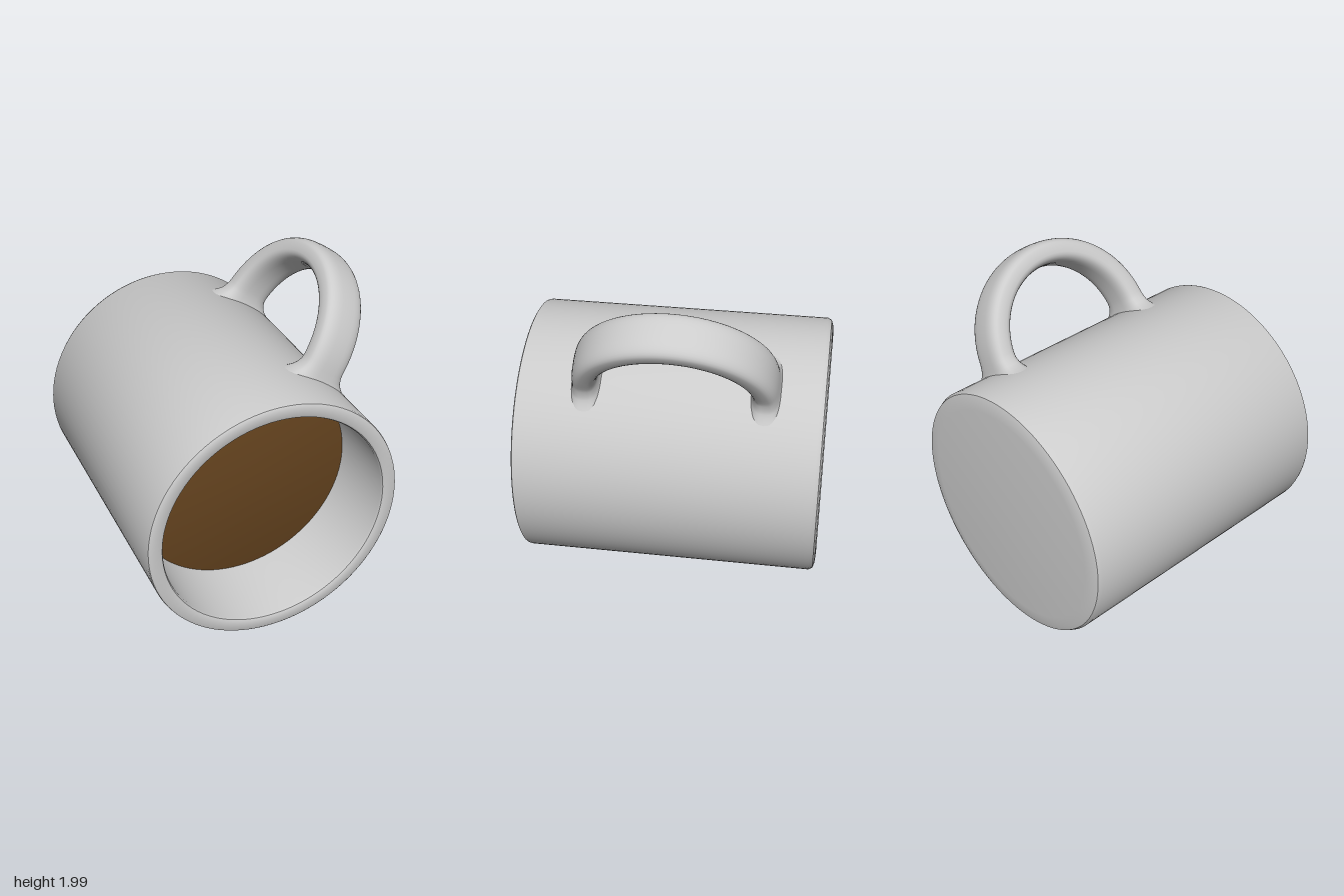
import * as THREE from 'three';
import { mergeVertices, toCreasedNormals } from 'three/addons/utils/BufferGeometryUtils.js';

const clay = new THREE.MeshStandardMaterial({ color: 0xcccccc });
const coffee = new THREE.MeshStandardMaterial({ color: 0x66441f });

function part(name, geometry, material) {
  const mesh = new THREE.Mesh(geometry, material);
  mesh.name = name;
  return mesh;
}

// Cup wall: one closed profile, outside from the base to the rim, then down the inside
function cupGeometry() {
  const profile = [
    [0, -0.9], [0.68, -0.9], [0.74, -0.895], [0.772, -0.885], [0.785, -0.86],
    [0.785, 0.88], [0.781, 0.893], [0.77, 0.9],
    [0.71, 0.9], [0.699, 0.894], [0.692, 0.88],
    [0.692, -0.78], [0.66, -0.81], [0, -0.81],
  ].map(([r, y]) => new THREE.Vector2(r, y));
  const lathe = new THREE.LatheGeometry(profile, 96).rotateX(Math.PI / 2);
  return toCreasedNormals(lathe, 0.6);
}

// Drink: a thin disc shaded smoothly over its edge
function drinkGeometry() {
  const disc = new THREE.CylinderGeometry(0.697, 0.697, 0.1, 32).rotateX(Math.PI / 2);
  disc.deleteAttribute('normal');
  disc.deleteAttribute('uv');
  const welded = mergeVertices(disc, 1e-4);
  welded.computeVertexNormals();
  return welded;
}

// Handle: rounded-flat section swept over an arch, its feet flaring into the wall
function handleGeometry() {
  const R = 0.52, base = 0.805, foot = 0.69, sides = 32, legSteps = 8, arcSteps = 48;
  const path = []; // [height, z, angle along the arch]
  for (let i = 0; i < legSteps; i++) path.push([foot + (base - foot) * i / legSteps, -R, 0]);
  for (let i = 0; i <= arcSteps; i++) {
    const a = Math.PI * i / arcSteps;
    path.push([base + R * Math.sin(a), -R * Math.cos(a), a]);
  }
  for (let i = legSteps - 1; i >= 0; i--) path.push([path[i][0], R, Math.PI]);

  const power = (c) => Math.sign(c) * Math.abs(c) ** (2 / 3);
  const positions = [], index = [];
  path.forEach(([h, z, a], i) => {
    const flare = THREE.MathUtils.clamp((0.87 - h) / 0.17, 0, 1) ** 2.5;
    const halfWidth = 0.138 + 0.21 * flare;
    const halfDepth = 0.075 + 0.05 * flare;
    for (let j = 0; j < sides; j++) {
      const v = 2 * Math.PI * j / sides;
      const out = halfDepth * power(Math.sin(v));
      positions.push(halfWidth * power(Math.cos(v)), h + out * Math.sin(a), z - out * Math.cos(a));
      if (i === path.length - 1) continue;
      const p = i * sides + j, q = i * sides + (j + 1) % sides;
      index.push(p, q, p + sides, q, q + sides, p + sides);
    }
  });
  const geometry = new THREE.BufferGeometry();
  geometry.setAttribute('position', new THREE.Float32BufferAttribute(positions, 3));
  geometry.setIndex(index);
  geometry.computeVertexNormals();
  return geometry;
}

export function createModel() {
  const model = new THREE.Group();
  model.name = 'mug';

  // The mug lies on its side with the opening to the front
  const body = new THREE.Group();
  body.name = 'mugBody';
  body.position.set(-0.042, 0.787, 0);
  model.add(body);

  body.add(part('cup', cupGeometry(), clay));

  const drink = part('drink', drinkGeometry(), coffee);
  drink.position.z = 0.36;
  body.add(drink);

  // The handle leans to the upper left of the cup
  const handle = part('handle', handleGeometry(), clay);
  handle.position.z = -0.03;
  handle.rotation.z = -0.594;
  body.add(handle);

  return model;
}
